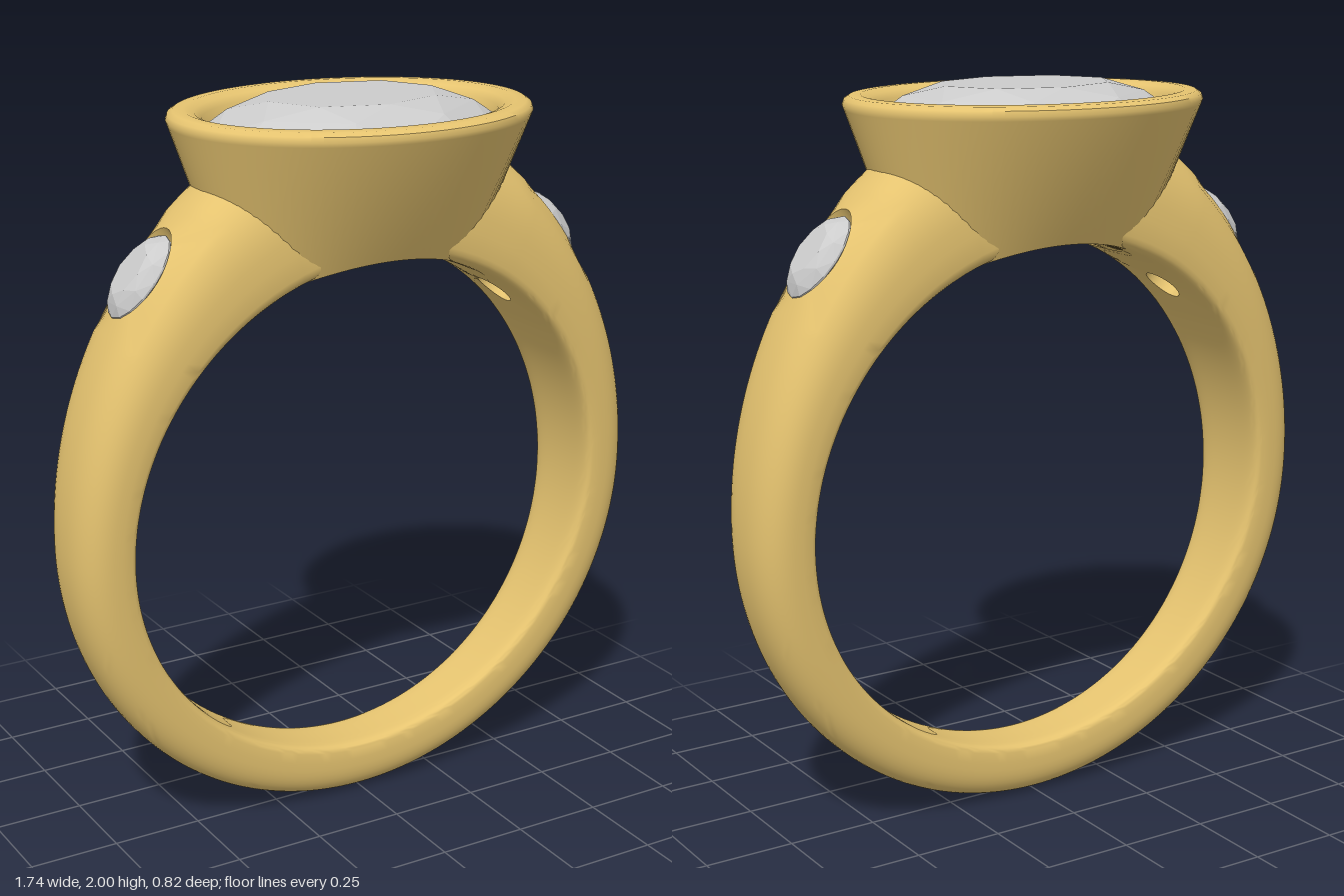
import * as THREE from 'three';
import { toCreasedNormals } from 'three/addons/utils/BufferGeometryUtils.js';
import { ConvexGeometry } from 'three/addons/geometries/ConvexGeometry.js';

const RAD = Math.PI / 180;
const CENTRE_Y = 0.872, INNER_R = 0.712;
const gold = new THREE.MeshStandardMaterial({ color: 0xe6c470, side: THREE.DoubleSide });
const stone = new THREE.MeshStandardMaterial({ color: 0xcccccc });

// Collects quads and turns them into a mesh with smooth faces and sharp creases
function surface() {
  const pos = [];
  return {
    quad(a, b, c, d) {
      for (const p of [a, b, c, a, c, d]) pos.push(...p);
    },
    mesh(name) {
      const g = new THREE.BufferGeometry();
      g.setAttribute('position', new THREE.Float32BufferAttribute(pos, 3));
      const mesh = new THREE.Mesh(toCreasedNormals(g, 0.7), gold);
      mesh.name = name;
      return mesh;
    },
  };
}

// Point in the band: angle a in degrees from the bottom, u across, v from inside to outside
function bandPoint(a, u, v) {
  const abs = Math.abs(a);
  const t = Math.max(0, (abs - 90) / 68);
  const r = INNER_R + v * (0.157 + 0.18 * t * t);
  const width = 0.086 + 0.056 * (CENTRE_Y - 0.9 * Math.cos(a * RAD));
  // the ends wrap around the oval setting
  const end = Math.max(0, (abs - 150) / 7);
  const ang = (a + Math.sign(a) * 8 * u * u * end) * RAD;
  return [r * Math.sin(ang), CENTRE_Y - r * Math.cos(ang), u * width];
}

// Height of the band's section: domed outside, nearly flat inside
const sectionV = (u, outside) => {
  const h = (n) => Math.pow(Math.max(0, 1 - Math.pow(Math.abs(u), n)), 1 / n);
  return outside ? 0.3 + 0.7 * h(2.6) : 0.3 - 0.3 * h(6);
};

function makeBand() {
  const s = surface();
  const N = 88, M = 48, STEP = 157 / N, HOLE = 78, HALF = 6;
  const uAt = (j) => {
    const c = Math.cos((j / M) * Math.PI * 2);
    return Math.sign(c) * Math.pow(Math.abs(c), 2 / 2.6);
  };
  const at = (i, j) => bandPoint(i * STEP, uAt(j), sectionV(uAt(j), j % M <= M / 2));
  const inWindow = (i, j) => {
    const k = Math.min(Math.abs(i + 0.5 - HOLE), Math.abs(i + 0.5 + HOLE));
    return k < HALF && Math.abs((j % (M / 2)) + 0.5 - 12) < HALF;
  };
  for (let i = -N; i < N; i++)
    for (let j = 0; j < M; j++)
      if (!inWindow(i, j)) s.quad(at(i, j), at(i, j + 1), at(i + 1, j + 1), at(i + 1, j));

  // Oval stone seats, cut right through both shoulders
  const rim = [];
  for (let k = -HALF; k < HALF; k++) rim.push([k, -HALF]);
  for (let k = -HALF; k < HALF; k++) rim.push([HALF, k]);
  for (let k = HALF; k > -HALF; k--) rim.push([k, HALF]);
  for (let k = HALF; k > -HALF; k--) rim.push([-HALF, k]);
  for (const ci of [-HOLE, HOLE])
    for (const outside of [true, false]) {
      const cj = outside ? 12 : 36, flip = outside ? -1 : 1;
      const oval = (da, du, v) => rim.map(([j, i]) => {
        const t = Math.atan2(i, j);
        const u = flip * Math.cos(t) * du;
        return bandPoint(ci * STEP + Math.sin(t) * da, u, v ?? sectionV(u, outside));
      });
      const loops = [
        rim.map(([j, i]) => at(ci + i, cj + j)),
        outside ? oval(7.7, 0.53) : oval(4.5, 0.31),
        ...(outside ? [oval(7.5, 0.51, 0.82)] : []),
        oval(4.5, 0.31, 0.4),
      ];
      for (let r = 0; r + 1 < loops.length; r++)
        for (let k = 0; k < rim.length; k++) {
          const n = (k + 1) % rim.length;
          s.quad(loops[r][k], loops[r][n], loops[r + 1][n], loops[r + 1][k]);
        }
    }
  return s.mesh('band');
}

// Hollow oval setting; its underside follows the finger opening
function makeSetting() {
  const s = surface();
  const SEG = 96;
  // radius in x, radius in z, height (null = on the finger opening)
  const rings = [
    [0.355, 0.195, null], [0.5, 0.405, 1.94], [0.504, 0.41, 1.952], [0.499, 0.406, 1.966],
    [0.485, 0.392, 1.975], [0.455, 0.362, 1.977], [0.428, 0.335, 1.968], [0.41, 0.316, 1.952],
    [0.404, 0.31, 1.92], [0.22, 0.13, null],
  ];
  const at = (k, i) => {
    const [rx, rz, y] = rings[k % rings.length];
    const t = ((i % SEG) / SEG) * Math.PI * 2;
    const x = rx * Math.cos(t);
    return [x, y ?? CENTRE_Y + Math.sqrt(0.718 ** 2 - x * x), rz * Math.sin(t)];
  };
  for (let k = 0; k < rings.length; k++)
    for (let i = 0; i < SEG; i++) s.quad(at(k, i), at(k + 1, i), at(k + 1, i + 1), at(k, i + 1));
  return s.mesh('setting');
}

// Faceted oval brilliant with its girdle at y = 0
function makeGem(name, rx, rz, crown, pavilion) {
  const pts = [new THREE.Vector3(0, -pavilion, 0)];
  const ring = (n, scale, y, offset) => {
    for (let i = 0; i < n; i++) {
      const t = ((i + offset) / n) * Math.PI * 2;
      pts.push(new THREE.Vector3(rx * scale * Math.cos(t), y, rz * scale * Math.sin(t)));
    }
  };
  ring(8, 0.6, crown, 0);
  ring(8, 0.83, crown * 0.62, 0.5);
  ring(16, 1, 0, 0);
  ring(16, 1, -crown * 0.15, 0);
  ring(8, 0.55, -pavilion * 0.55, 0.5);
  const gem = new THREE.Mesh(new ConvexGeometry(pts), stone);
  gem.name = name;
  return gem;
}

export function createModel() {
  const ring = new THREE.Group();
  ring.name = 'ring';
  ring.add(makeBand(), makeSetting());

  const centreStone = makeGem('centreStone', 0.412, 0.318, 0.075, 0.31);
  centreStone.position.y = 1.925;
  ring.add(centreStone);

  for (const side of [-1, 1]) {
    const gem = makeGem(side > 0 ? 'leftStone' : 'rightStone', 0.125, 0.089, 0.035, 0.1);
    gem.position.set(side * 0.627, CENTRE_Y + 0.718, 0);
    gem.rotation.z = -side * 51 * RAD;
    ring.add(gem);
  }
  return ring;
}
